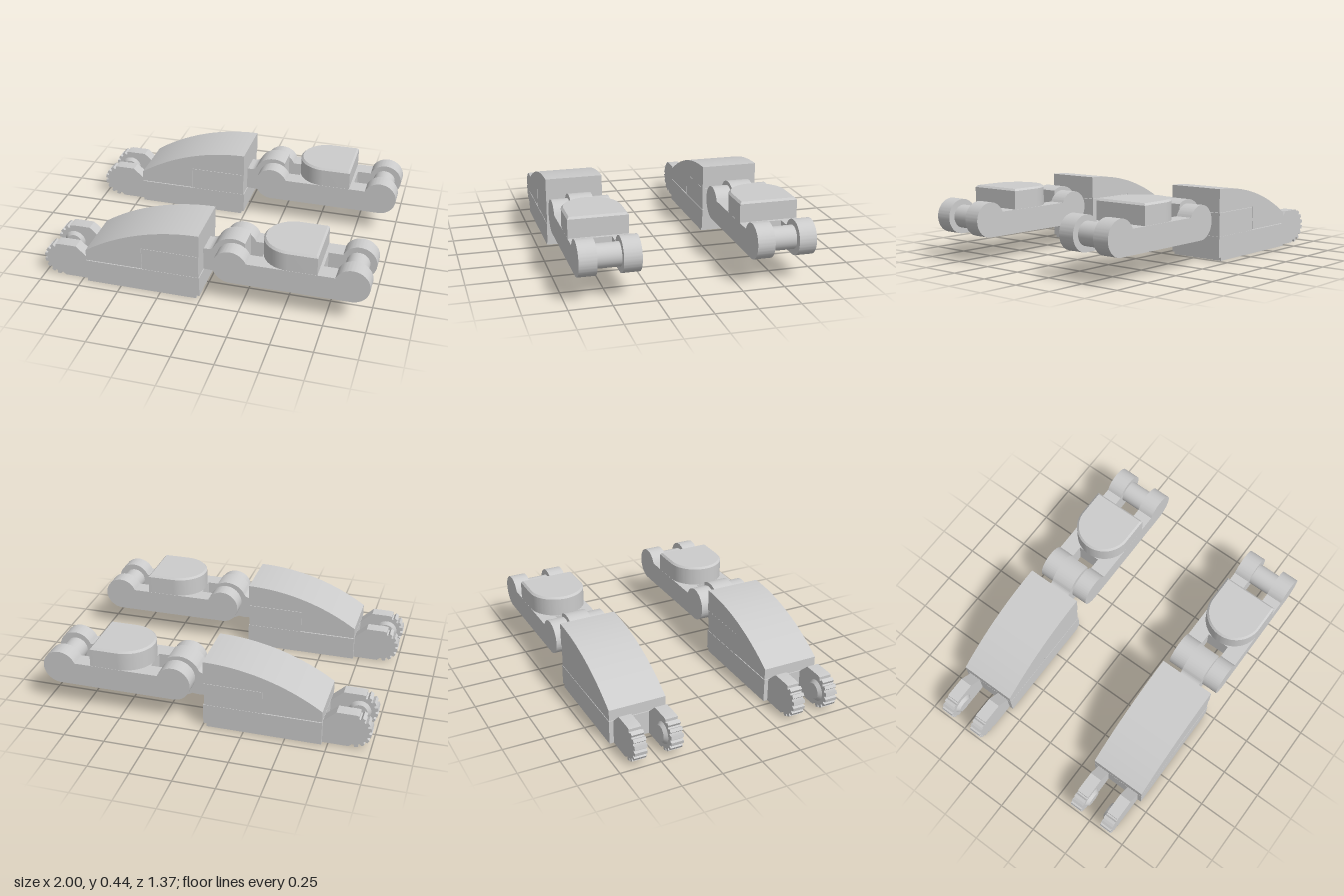
import * as THREE from 'three';
import { toCreasedNormals } from 'three/addons/utils/BufferGeometryUtils.js';

const material = new THREE.MeshStandardMaterial({ color: 0xcccccc });

function add(parent, name, geometry, x = 0, y = 0, z = 0) {
  const mesh = new THREE.Mesh(geometry, material);
  mesh.name = name;
  mesh.position.set(x, y, z);
  parent.add(mesh);
  return mesh;
}

// Box given by its limits
function block(parent, name, x0, x1, y0, y1, z0, z1) {
  add(parent, name, new THREE.BoxGeometry(x1 - x0, y1 - y0, z1 - z0),
    (x0 + x1) / 2, (y0 + y1) / 2, (z0 + z1) / 2);
}

// Side profile (x, y) extruded from z0 to z1
function slab(parent, name, shape, z0, z1) {
  const geo = new THREE.ExtrudeGeometry(shape, { depth: z1 - z0, bevelEnabled: false, curveSegments: 32 });
  add(parent, name, toCreasedNormals(geo, 0.5), 0, 0, z0);
}

function polygon(points) {
  return new THREE.Shape(points.map(([x, y]) => new THREE.Vector2(x, y)));
}

const W = 0.177; // half width of a unit
const IN = 0.073; // inner face of the paired plates

// Hollow base with ribs and a tube underneath
function addBase(unit) {
  const base = new THREE.Group();
  base.name = 'base';
  unit.add(base);
  block(base, 'baseDeck', -0.715, -0.005, 0.11, 0.147, -W, W);
  block(base, 'baseRearWall', -0.715, -0.675, 0, 0.11, -W, W);
  block(base, 'baseFrontWall', -0.05, -0.005, 0.02, 0.11, -W, W);
  block(base, 'baseFrontLip', -0.05, -0.025, 0, 0.02, -W, W);
  for (const s of [-1, 1]) {
    const z = s * (W - 0.02);
    block(base, 'baseSideWall', -0.675, -0.05, 0, 0.11, z - 0.02, z + 0.02);
  }
  for (const x of [-0.48, -0.24]) block(base, 'baseRib', x - 0.015, x + 0.015, 0.05, 0.11, -W + 0.04, W - 0.04);
  add(base, 'baseTube', new THREE.CylinderGeometry(0.055, 0.055, 0.11, 32), -0.36, 0.055, 0);
}

// Toothed end plates with tapered inner studs
function addToothedEnd(unit) {
  const cx = -0.892, cy = 0.108, teeth = 8;
  const points = [[-0.715, 0], [-0.715, 0.147], [-0.79, 0.216]];
  const start = THREE.MathUtils.degToRad(95), pitch = Math.PI / teeth;
  for (let i = 0; i < teeth; i++) {
    for (const [f, r] of [[0, 0.108], [0.5, 0.108], [0.62, 0.091], [0.9, 0.091]]) {
      const a = start + (i + f) * pitch;
      points.push([cx + r * Math.cos(a), cy + r * Math.sin(a)]);
    }
  }
  points.push([-0.87, 0]);
  const shape = polygon(points.reverse());
  for (const s of [-1, 1]) {
    slab(unit, 'toothedPlate', shape, s > 0 ? IN : -0.15, s > 0 ? 0.15 : -IN);
    const stud = add(unit, 'plateStud', new THREE.CylinderGeometry(0.048, 0.068, 0.02, 32), cx, cy, s * 0.064);
    stud.rotation.x = -s * Math.PI / 2;
  }
}

// Curved hood, notched at the front for the hinge plate
function addHood(unit) {
  const R = 1.28, top = 0.435, x1 = -0.005, x0 = -0.715;
  const half = Math.asin((x1 - x0) / R);
  const hood = new THREE.Shape();
  hood.moveTo(x0, 0.152);
  hood.lineTo(-0.362, 0.152);
  hood.lineTo(-0.362, 0.293);
  hood.lineTo(x1, 0.293);
  hood.lineTo(x1, top);
  hood.absarc(x1, top - R, R, Math.PI / 2, Math.PI / 2 + half, false);
  hood.closePath();
  slab(unit, 'curvedHood', hood, -W, W);
  block(unit, 'hoodSpacer', -0.7, -0.37, 0.14, 0.16, -W + 0.015, W - 0.015);
}

// Hinge plate with a narrow neck and a barrel cut flat at its end
function addHinge(unit) {
  block(unit, 'hingePlate', -0.36, -0.01, 0.147, 0.29, -W + 0.002, W - 0.002);
  const cx = 0.172, cy = 0.253, r = 0.131;
  const cut = Math.acos(0.073 / r);
  const arm = new THREE.Shape();
  arm.moveTo(-0.02, 0.147);
  arm.lineTo(0.06, 0.143);
  arm.absarc(cx, cy, r, Math.PI * 1.3, Math.PI * 2 - cut, false);
  arm.absarc(cx, cy, r, cut, Math.PI * 0.82, false);
  arm.quadraticCurveTo(0.05, 0.292, 0.02, 0.29);
  arm.lineTo(-0.02, 0.29);
  arm.closePath();
  slab(unit, 'hingeArm', arm, -0.07, 0.07);
}

// Link: two round-ended rails, cross bracing, rear pin and rounded cap
function addLink(unit) {
  const r = 0.105, cy = 0.255, a = Math.asin(0.04 / r);
  const rail = new THREE.Shape();
  rail.moveTo(0.18, 0.15);
  rail.lineTo(0.895, 0.15);
  rail.absarc(0.895, cy, r, -Math.PI / 2, Math.PI - a, false);
  rail.absarc(0.18, cy, r, a, Math.PI * 1.5, false);
  slab(unit, 'linkRail', rail, IN, W);
  slab(unit, 'linkRail', rail, -W, -IN);

  block(unit, 'linkDeck', 0.35, 0.712, 0.235, 0.295, -IN, IN);
  for (const x of [0.365, 0.53, 0.697]) block(unit, 'linkRib', x - 0.015, x + 0.015, 0.15, 0.235, -IN, IN);
  const pin = add(unit, 'linkPin', new THREE.CylinderGeometry(0.07, 0.07, 2 * IN, 32), 0.89, cy, 0);
  pin.rotation.x = Math.PI / 2;

  const bevel = 0.012, h = 0.125;
  const cap = new THREE.Shape();
  cap.moveTo(0.695 - bevel, -W + bevel);
  cap.lineTo(0.695 - bevel, W - bevel);
  cap.absarc(0.522, 0, W - bevel, Math.PI / 2, Math.PI * 1.5, false);
  cap.closePath();
  const geo = new THREE.ExtrudeGeometry(cap, {
    depth: h - 2 * bevel, bevelThickness: bevel, bevelSize: bevel, bevelSegments: 1, curveSegments: 32,
  });
  // Keep the foot straight: widen only the top edge bevel
  const p = geo.attributes.position;
  for (let i = 0; i < p.count; i++) if (p.getZ(i) < 0.001) p.setZ(i, p.getZ(i) < -0.001 ? -bevel : -bevel + 0.001);
  geo.rotateX(-Math.PI / 2);
  add(unit, 'roundedCap', toCreasedNormals(geo, 0.5), 0, 0.295 + bevel, 0);
}

export function createModel() {
  const model = new THREE.Group();
  model.name = 'pairedHingedLinks';
  for (const s of [-1, 1]) {
    const unit = new THREE.Group();
    unit.name = s > 0 ? 'frontUnit' : 'backUnit';
    unit.position.z = s * 0.509;
    addBase(unit);
    addToothedEnd(unit);
    addHood(unit);
    addHinge(unit);
    addLink(unit);
    model.add(unit);
  }
  return model;
}
